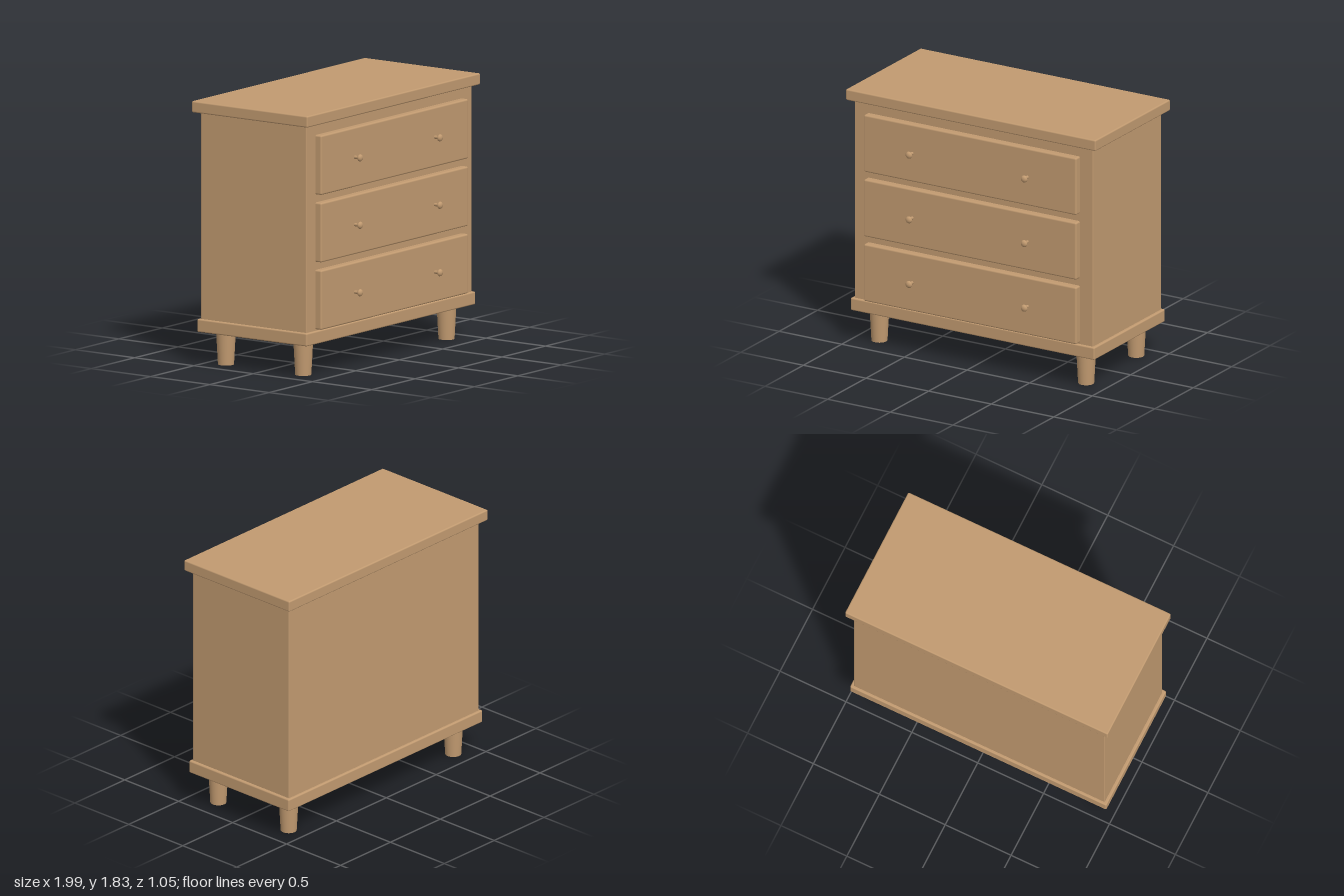
import * as THREE from 'three';
import { RoundedBoxGeometry } from 'three/addons/geometries/RoundedBoxGeometry.js';

export function createModel() {
  const model = new THREE.Group();
  model.name = 'chestOfDrawers';
  const wood = new THREE.MeshStandardMaterial({ color: 0xc19a70 });
  wood.name = 'wood';

  const add = (name, geometry, x, y, z, parent = model) => {
    const mesh = new THREE.Mesh(geometry, wood);
    mesh.name = name;
    mesh.position.set(x, y, z);
    parent.add(mesh);
    return mesh;
  };

  // Softly rounded box given by its half width and its y and z ranges
  const slab = (name, halfWidth, y0, y1, z0, z1, radius, parent) =>
    add(name, new RoundedBoxGeometry(halfWidth * 2, y1 - y0, z1 - z0, 3, radius),
      0, (y0 + y1) / 2, (z0 + z1) / 2, parent);

  // Carcass
  slab('top', 0.997, 1.751, 1.83, -0.522, 0.454, 0.01);
  slab('body', 0.952, 0.31, 1.76, -0.477, 0.413, 0.006);
  slab('base', 0.973, 0.23, 0.32, -0.495, 0.431, 0.01);

  // Knob profile, turned about its axis and laid along z
  const knobProfile = [
    [0.011, 0], [0.011, 0.032], [0.017, 0.034], [0.023, 0.038], [0.025, 0.044],
    [0.023, 0.051], [0.017, 0.057], [0.009, 0.06], [0, 0.061],
  ].map(([r, y]) => new THREE.Vector2(r, y));
  const knobGeometry = new THREE.LatheGeometry(knobProfile, 24).rotateX(Math.PI / 2);

  // Three drawers with two knobs each
  for (let i = 0; i < 3; i++) {
    const y = 0.535 + i * 0.467;
    const drawer = new THREE.Group();
    drawer.name = 'drawer' + (i + 1);
    model.add(drawer);
    slab('drawerFront', 0.848, y - 0.206, y + 0.206, 0.39, 0.463, 0.012, drawer);
    for (const side of [-1, 1]) add('knob', knobGeometry, side * 0.46, y, 0.462, drawer);
  }

  // Tapered legs
  const legGeometry = new THREE.CylinderGeometry(0.068, 0.055, 0.24, 32);
  for (const x of [-0.825, 0.825]) {
    for (const z of [0.294, -0.358]) add('leg', legGeometry, x, 0.12, z);
  }

  return model;
}
